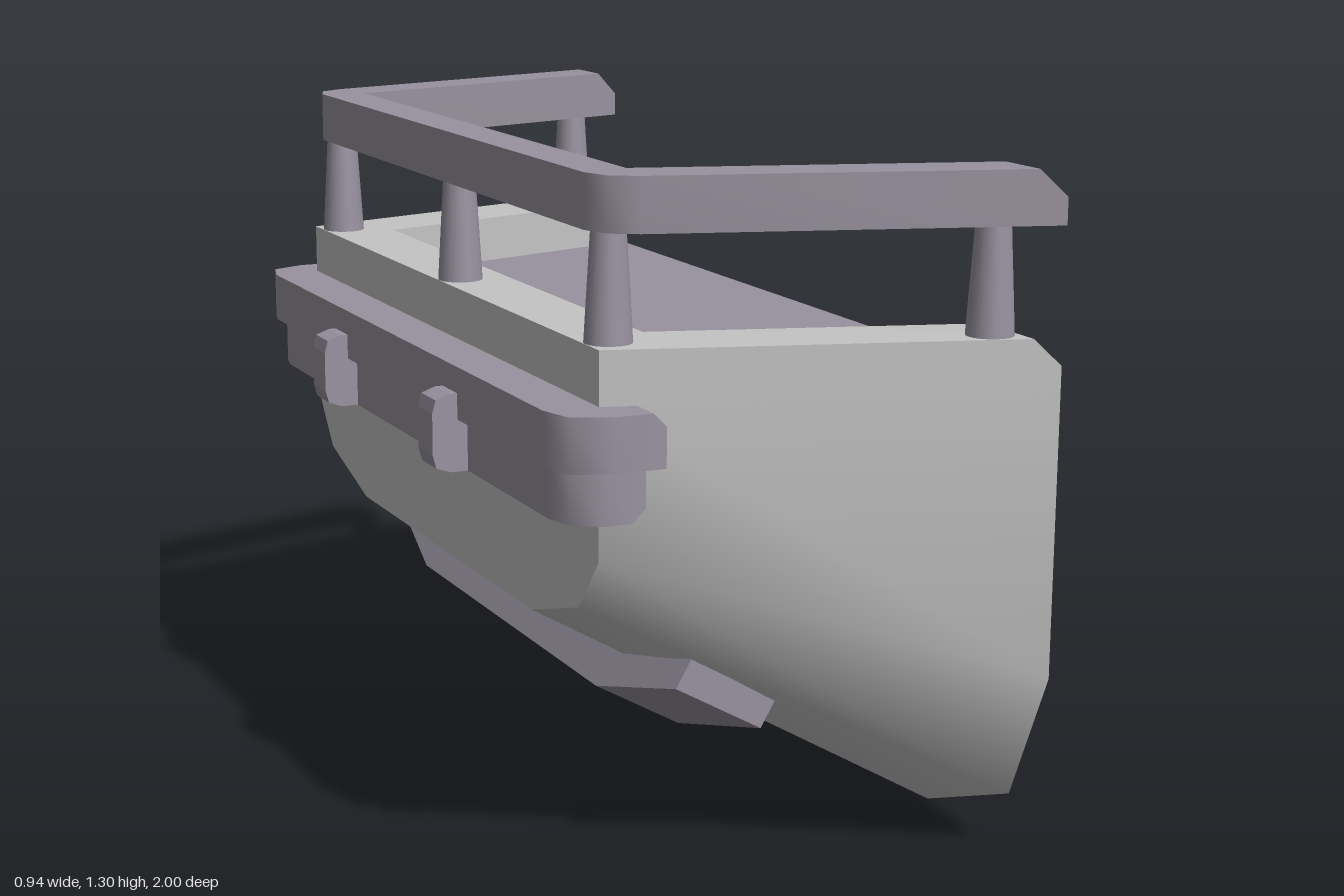
import * as THREE from 'three';
import { toCreasedNormals } from 'three/addons/utils/BufferGeometryUtils.js';

// Solid through matching convex rings of [x, y, z] points, capped at both ends
function loft(rings, crease = 0.9) {
  const n = rings[0].length, pos = [];
  const tri = (a, b, c) => pos.push(...a, ...b, ...c);
  for (let i = 0; i < rings.length - 1; i++) {
    for (let j = 0; j < n; j++) {
      const k = (j + 1) % n, r = rings[i], s = rings[i + 1];
      tri(r[j], r[k], s[k]);
      tri(r[j], s[k], s[j]);
    }
  }
  const first = rings[0], last = rings[rings.length - 1];
  for (let j = 1; j < n - 1; j++) {
    tri(first[0], first[j + 1], first[j]);
    tri(last[0], last[j], last[j + 1]);
  }
  const g = new THREE.BufferGeometry();
  g.setAttribute('position', new THREE.Float32BufferAttribute(pos, 3));
  return toCreasedNormals(g, crease);
}

// U-shaped band, mirrored in z. Half path: [outer x, outer z, inner x, inner z];
// the first entry is the open end, where the top or bottom corner is cut.
function band(half, y0, y1, topCut, bottomCut = 0) {
  const ring = ([xo, zo, xi, zi], i, side) => {
    const lo = y0 + (i === 0 ? bottomCut : 0), hi = y1 - (i === 0 ? topCut : 0);
    return [[xi, lo, zi * side], [xo, lo, zo * side], [xo, hi, zo * side], [xi, hi, zi * side]];
  };
  const left = half.map((p, i) => ring(p, i, 1));
  const right = half.map((p, i) => ring(p, i, -1)).reverse();
  return loft([...left, ...right]);
}

export function createModel() {
  const group = new THREE.Group();
  const stone = new THREE.MeshStandardMaterial({ color: 0xc4c4c4 });
  stone.name = 'pale grey';
  const trim = new THREE.MeshStandardMaterial({ color: 0x98929f });
  trim.name = 'purple grey';
  const add = (name, geometry, material) => {
    const mesh = new THREE.Mesh(geometry, material);
    mesh.name = name;
    group.add(mesh);
    return mesh;
  };

  // Hull: tapers towards -x with a sloping, bevelled underside
  const hullRing = (x, profile) => [
    ...profile.map(([z, y]) => [x, y, -z]),
    ...[...profile].reverse().map(([z, y]) => [x, y, z]),
  ];
  add('hull', loft([
    hullRing(-0.32, [[0.46, 0.45], [0.68, 0.515], [0.765, 0.62], [0.765, 0.9]]),
    hullRing(0.47, [[0.6, 0], [0.885, 0.11], [1, 0.37], [1, 0.9]]),
  ]), stone);

  // Low wall around three sides
  add('parapet', band([
    [0.47, 1, 0.47, 0.84], [0.42, 0.985, 0.42, 0.825], [-0.32, 0.765, -0.18, 0.645],
  ], 0.9, 1, 0.05), stone);

  // Deck plate
  const deck = new THREE.Shape([[0.47, 0.84], [-0.18, 0.645], [-0.18, -0.645], [0.47, -0.84]]
    .map(([x, z]) => new THREE.Vector2(x, z)));
  const deckGeo = new THREE.ExtrudeGeometry(deck, { depth: 0.006, bevelEnabled: false });
  deckGeo.rotateX(-Math.PI / 2).translate(0, 0.897, 0);
  add('deck', deckGeo, trim);

  // Handrail and tapered posts
  add('handrail', band([
    [0.47, 1, 0.47, 0.89], [0.42, 0.985, 0.42, 0.875], [-0.25, 0.785, -0.23, 0.68],
    [-0.3, 0.755, -0.23, 0.68], [-0.32, 0.7, -0.23, 0.68],
  ], 1.2, 1.3, 0.05), trim);
  const postGeo = new THREE.CylinderGeometry(0.032, 0.044, 0.2, 20);
  for (const [x, z] of [[0.37, 0.92], [-0.275, 0.705], [-0.275, 0], [-0.275, -0.705], [0.37, -0.92]]) {
    add('railPost', postGeo, trim).position.set(x, 1.1, z);
  }

  // Stepped ledge wrapped around the narrow end
  add('upperLedge', band([
    [-0.23, 0.85, -0.23, 0.77], [-0.255, 0.85, -0.255, 0.77], [-0.33, 0.85, -0.3, 0.76],
    [-0.4, 0.82, -0.3, 0.75], [-0.42, 0.75, -0.3, 0.73],
  ], 0.8, 0.9, 0.025), trim);
  add('lowerLedge', band([
    [-0.255, 0.82, -0.255, 0.76], [-0.28, 0.82, -0.28, 0.76], [-0.33, 0.82, -0.3, 0.75],
    [-0.385, 0.79, -0.3, 0.74], [-0.4, 0.73, -0.3, 0.72],
  ], 0.7, 0.8, 0, 0.025), trim);

  // Small brackets on the ledge
  const bracket = new THREE.Shape([
    [-0.39, 0.7], [-0.435, 0.7], [-0.463, 0.71], [-0.47, 0.735],
    [-0.47, 0.815], [-0.463, 0.84], [-0.435, 0.85], [-0.39, 0.85],
  ].map(([x, y]) => new THREE.Vector2(x, y)));
  const bracketGeo = new THREE.ExtrudeGeometry(bracket, { depth: 0.075, bevelEnabled: false });
  for (const z of [-0.31, 0.31]) add('ledgeBracket', bracketGeo, trim).position.z = z - 0.0375;

  // Cross beam under the hull, square to the slope, with bevelled ends
  const beamProfile = [[0.455, 0], [0.72, 0.08], [0.72, 0.14]];
  const beamRing = (x, y) => [
    ...beamProfile.map(([z, d]) => [x + d * 0.5, y + d * 0.866, -z]),
    ...[...beamProfile].reverse().map(([z, d]) => [x + d * 0.5, y + d * 0.866, z]),
  ];
  add('underBeam', loft([beamRing(-0.185, 0.28), beamRing(-0.01, 0.18)], 0.2), trim);

  return group;
}
